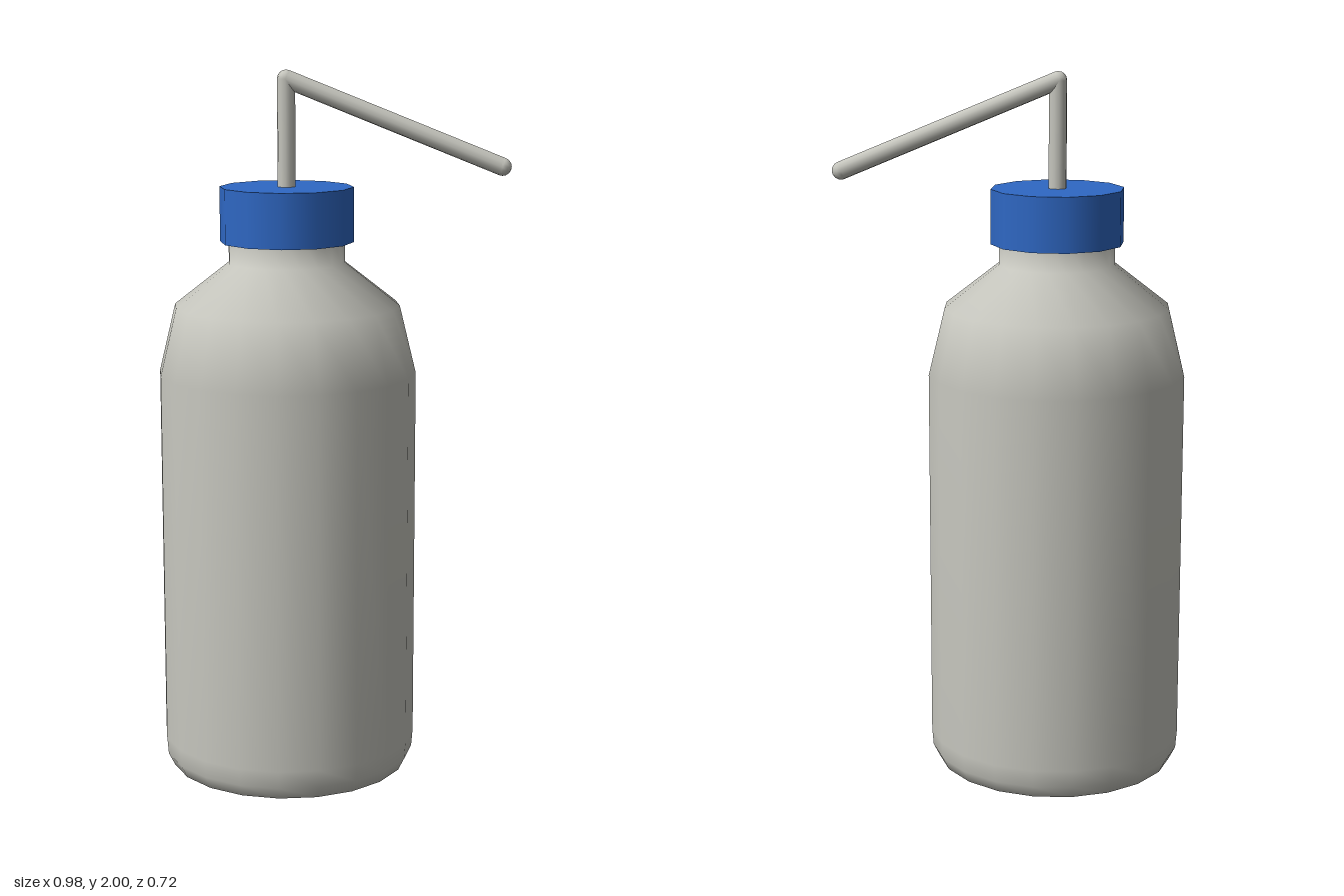
import * as THREE from 'three';

const AXIS_X = -0.13; // bottle axis, offset so the nozzle fits the centred width

export function createModel() {
  const plastic = new THREE.MeshStandardMaterial({ color: 0xc6c6be });
  plastic.name = 'grey plastic';
  const blue = new THREE.MeshStandardMaterial({ color: 0x2f68c4 });
  blue.name = 'blue cap plastic';

  const group = new THREE.Group();
  group.name = 'washBottle';

  const add = (name, geometry, material) => {
    const mesh = new THREE.Mesh(geometry, material);
    mesh.name = name;
    group.add(mesh);
    return mesh;
  };
  // Turned part around the bottle axis, profile listed bottom to top
  const turned = (name, profile, sides, material) => {
    const points = profile.map(([r, y]) => new THREE.Vector2(r, y));
    add(name, new THREE.LatheGeometry(points, sides), material).position.x = AXIS_X;
  };

  // Body with rounded foot, tapering shoulder and neck
  turned('bottleBody', [
    [0, 0.004], [0.3, 0.004], [0.34, 0.014], [0.358, 0.05], [0.362, 0.1],
    [0.362, 1.16], [0.316, 1.35], [0.163, 1.47], [0.163, 1.56],
  ], 20, plastic);

  // Screw cap: side wall, then flat top and underside
  turned('capSide', [[0.187, 1.527], [0.187, 1.68]], 12, blue);
  turned('capTop', [[0.187, 1.68], [0, 1.68]], 12, blue);
  turned('capUnderside', [[0, 1.527], [0.187, 1.527]], 12, blue);

  // Bent spout: riser and sloping nozzle with rounded ends
  const R = 0.025;
  const base = new THREE.Vector3(AXIS_X, 1.66, 0);
  const elbow = new THREE.Vector3(AXIS_X, 1.975, 0);
  const tip = new THREE.Vector3(0.466, 1.738, 0);
  const rod = (name, a, b) => {
    const dir = b.clone().sub(a);
    const mesh = add(name, new THREE.CylinderGeometry(R, R, dir.length(), 12, 1, true), plastic);
    mesh.position.copy(a).lerp(b, 0.5);
    mesh.quaternion.setFromUnitVectors(new THREE.Vector3(0, 1, 0), dir.normalize());
  };
  rod('spoutRiser', base, elbow);
  rod('spoutNozzle', elbow, tip);
  for (const [name, p] of [['spoutElbow', elbow], ['spoutTip', tip]]) {
    add(name, new THREE.SphereGeometry(R, 12, 8), plastic).position.copy(p);
  }
  return group;
}
